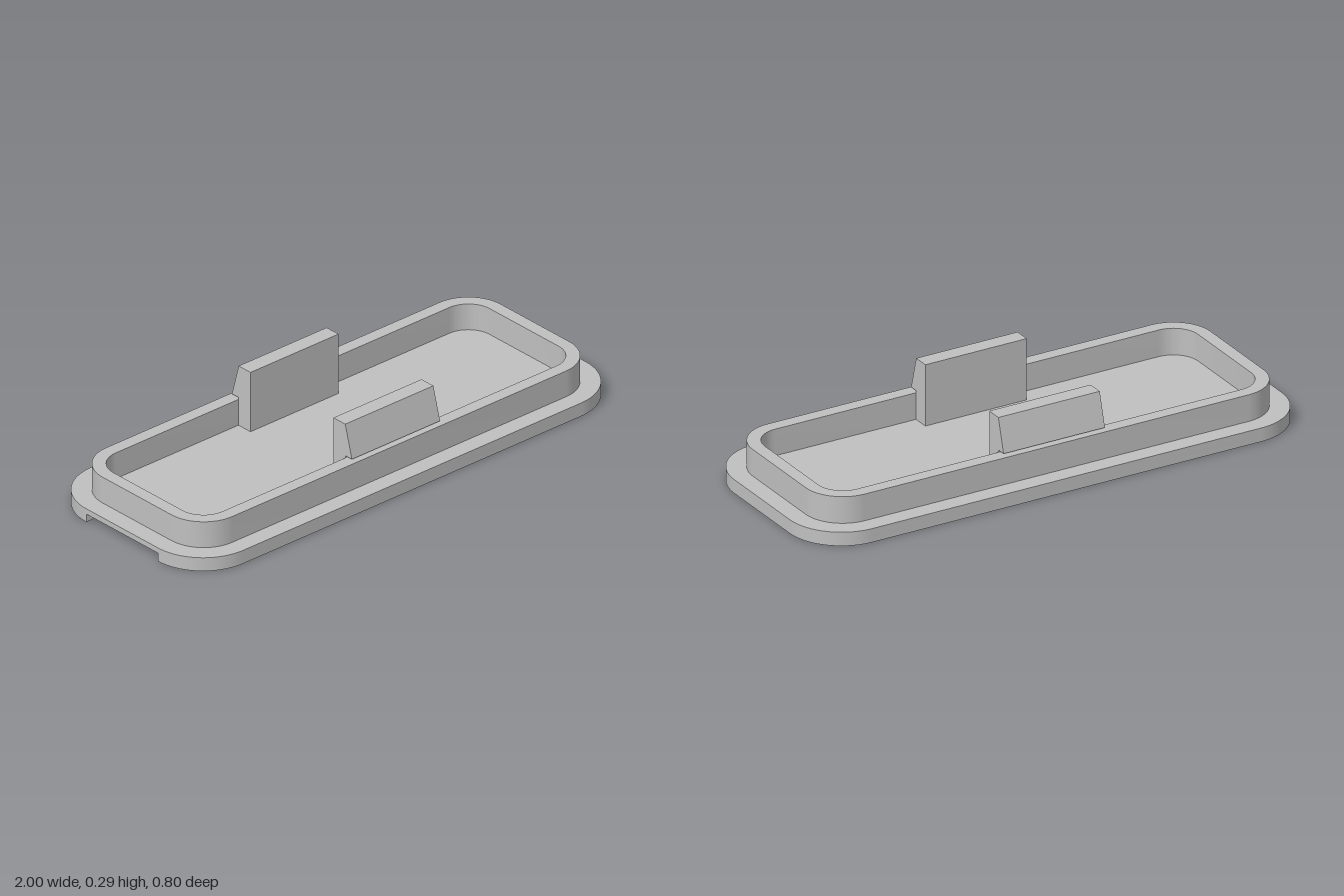
import * as THREE from 'three';
import { toCreasedNormals } from 'three/addons/utils/BufferGeometryUtils.js';

// Rounded rectangle in plan; an optional notch is cut into the -x end
function roundedRect(hx, hz, r, notch) {
  const s = new THREE.Shape();
  s.moveTo(-hx + r, -hz);
  s.lineTo(hx - r, -hz);
  s.absarc(hx - r, -hz + r, r, -Math.PI / 2, 0);
  s.lineTo(hx, hz - r);
  s.absarc(hx - r, hz - r, r, 0, Math.PI / 2);
  s.lineTo(-hx + r, hz);
  s.absarc(-hx + r, hz - r, r, Math.PI / 2, Math.PI);
  if (notch) {
    s.lineTo(-hx, notch.half);
    s.lineTo(-hx + notch.depth, notch.half);
    s.lineTo(-hx + notch.depth, -notch.half);
    s.lineTo(-hx, -notch.half);
  }
  s.lineTo(-hx, -hz + r);
  s.absarc(-hx + r, -hz + r, r, Math.PI, Math.PI * 1.5);
  return s;
}

export function createModel() {
  const group = new THREE.Group();
  const grey = new THREE.MeshStandardMaterial({ color: 0xc0c0c0 });
  grey.name = 'grey plastic';

  function add(name, geometry) {
    const mesh = new THREE.Mesh(toCreasedNormals(geometry, 0.5), grey);
    mesh.name = name;
    group.add(mesh);
  }

  // Extrude a plan shape upward from y0 to y1
  function slab(name, shape, y0, y1) {
    const g = new THREE.ExtrudeGeometry(shape, { depth: y1 - y0, bevelEnabled: false, curveSegments: 16 });
    g.rotateX(-Math.PI / 2);
    g.translate(0, y0, 0);
    add(name, g);
  }

  // Base plate: the lower layer carries the finger notch
  slab('basePlateLower', roundedRect(1, 0.398, 0.21, { half: 0.188, depth: 0.06 }), 0, 0.032);
  slab('basePlateUpper', roundedRect(1, 0.398, 0.21), 0.032, 0.053);

  // Raised wall around the shallow pocket
  const wall = roundedRect(0.93, 0.33, 0.15);
  wall.holes.push(roundedRect(0.88, 0.28, 0.1));
  slab('rimWall', wall, 0.053, 0.156);

  // Snap clips: barbed profile in (z, y), swept along x
  const profile = [[0.217, 0.053], [0.28, 0.053], [0.28, 0.164], [0.314, 0.164], [0.279, 0.29], [0.217, 0.29]];
  for (const side of [1, -1]) {
    const shape = new THREE.Shape(profile.map(([z, y]) => new THREE.Vector2(z, y)));
    const g = new THREE.ExtrudeGeometry(shape, { depth: 0.412, bevelEnabled: false });
    g.translate(0, 0, -0.206);
    g.rotateY(-side * Math.PI / 2);
    add(side > 0 ? 'frontClip' : 'backClip', g);
  }
  return group;
}
